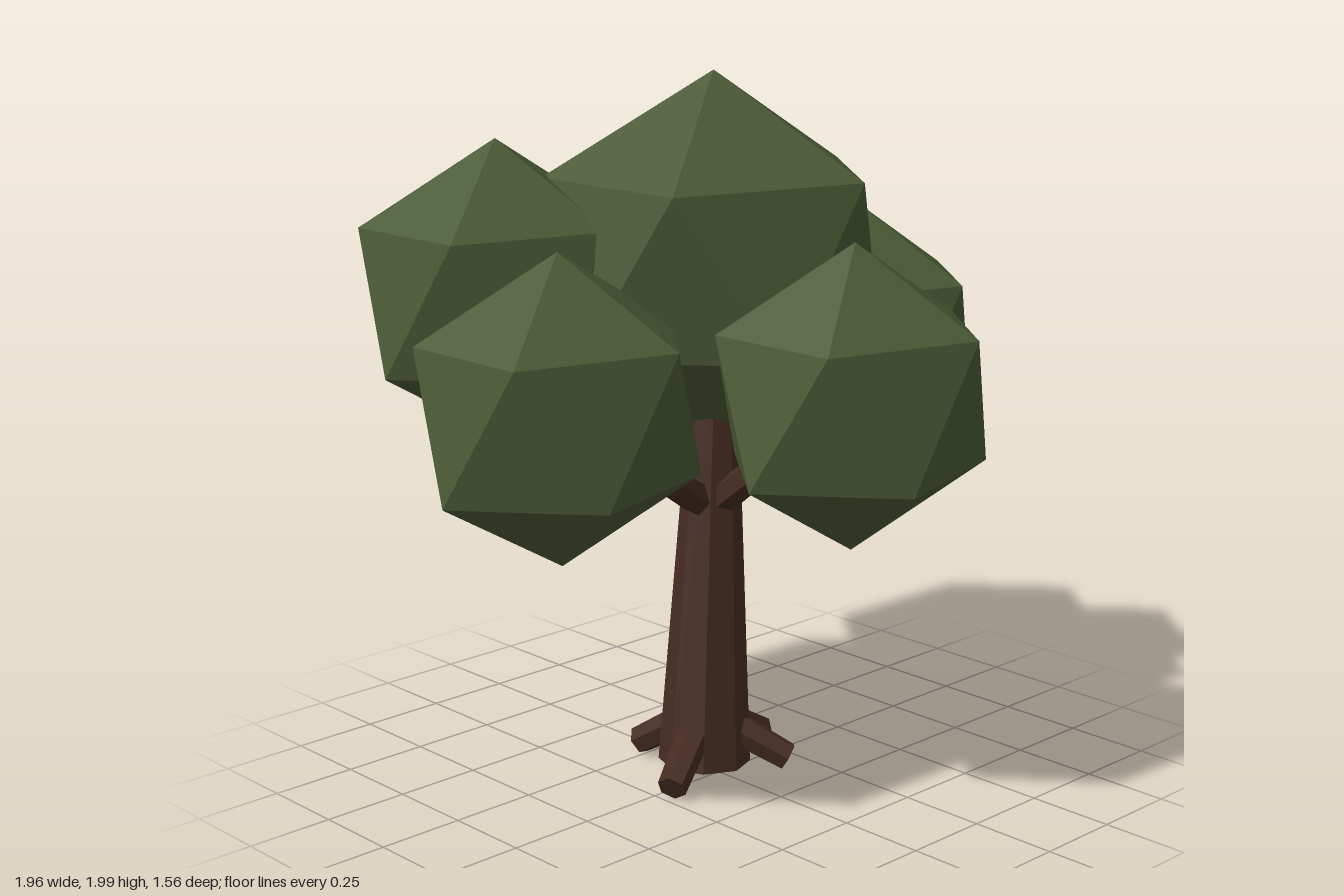
import * as THREE from 'three';

const bark = new THREE.MeshStandardMaterial({ color: 0x452b21 });
bark.name = 'bark brown';
const leaf = new THREE.MeshStandardMaterial({ color: 0x4b5a36 });
leaf.name = 'leaf green';

const vec = (p) => new THREE.Vector3(...p);

// Faceted tapered limb between two points
function limb(name, from, to, r0, r1, sides) {
  const a = vec(from), b = vec(to), dir = b.clone().sub(a);
  const geo = new THREE.CylinderGeometry(r1, r0, dir.length(), sides).toNonIndexed();
  geo.computeVertexNormals();
  const mesh = new THREE.Mesh(geo, bark);
  mesh.name = name;
  mesh.position.copy(a).add(b).multiplyScalar(0.5);
  mesh.quaternion.setFromUnitVectors(new THREE.Vector3(0, 1, 0), dir.normalize());
  return mesh;
}

// Twenty-sided leaf clump standing on one corner, stretched per axis
function clumpGeometry(rx, ry, rz) {
  const h = 1 / Math.sqrt(5), r = 2 * h;
  const ring = (y, turn) => (k) => {
    const a = (k + turn) * Math.PI * 0.4;
    return [r * Math.cos(a), y, r * Math.sin(a)];
  };
  const up = ring(h, 0), low = ring(-h, 0.5);
  const top = [0, 1, 0], bottom = [0, -1, 0], pts = [];
  for (let k = 0; k < 5; k++) {
    pts.push(top, up(k + 1), up(k));
    pts.push(up(k), up(k + 1), low(k));
    pts.push(low(k), up(k + 1), low(k + 1));
    pts.push(bottom, low(k), low(k + 1));
  }
  const geo = new THREE.BufferGeometry();
  geo.setAttribute('position', new THREE.Float32BufferAttribute(pts.flat(), 3));
  geo.scale(rx, ry, rz);
  geo.computeVertexNormals();
  return geo;
}

export function createModel() {
  const tree = new THREE.Group();
  tree.name = 'tree';

  // Slightly leaning trunk
  tree.add(limb('trunk', [0, 0.03, -0.06], [0.055, 1.25, -0.07], 0.132, 0.06, 8));

  // Four roots spreading onto the ground
  const rootEnds = [[0.16, 0.12], [0.25, -0.08], [-0.24, 0.06], [-0.06, -0.27]];
  for (const [x, z] of rootEnds) {
    tree.add(limb('root', [x * 0.15, 0.16, -0.06 + (z + 0.06) * 0.15], [x, 0.045, z], 0.05, 0.042, 6));
  }

  // Outer leaf clumps, each held by a branch
  const outer = clumpGeometry(0.43, 0.415, 0.38);
  const clumps = [
    [0.05, 1.18, 0.455], [0.595, 1.18, -0.06], [-0.597, 1.18, 0.03],
    [-0.445, 1.415, -0.4], [0.36, 1.415, -0.455],
  ];
  const fork = vec([0.03, 0.78, -0.065]);
  for (const c of clumps) {
    const clump = new THREE.Mesh(outer, leaf);
    clump.name = 'leafClump';
    clump.position.set(...c);
    tree.add(clump);
    const end = fork.clone().lerp(vec(c), 0.7);
    tree.add(limb('branch', fork.toArray(), end.toArray(), 0.05, 0.035, 6));
  }

  // Large crown on top
  const crown = new THREE.Mesh(clumpGeometry(0.547, 0.507, 0.494), leaf);
  crown.name = 'crown';
  crown.position.set(0.058, 1.493, -0.08);
  tree.add(crown);

  return tree;
}
